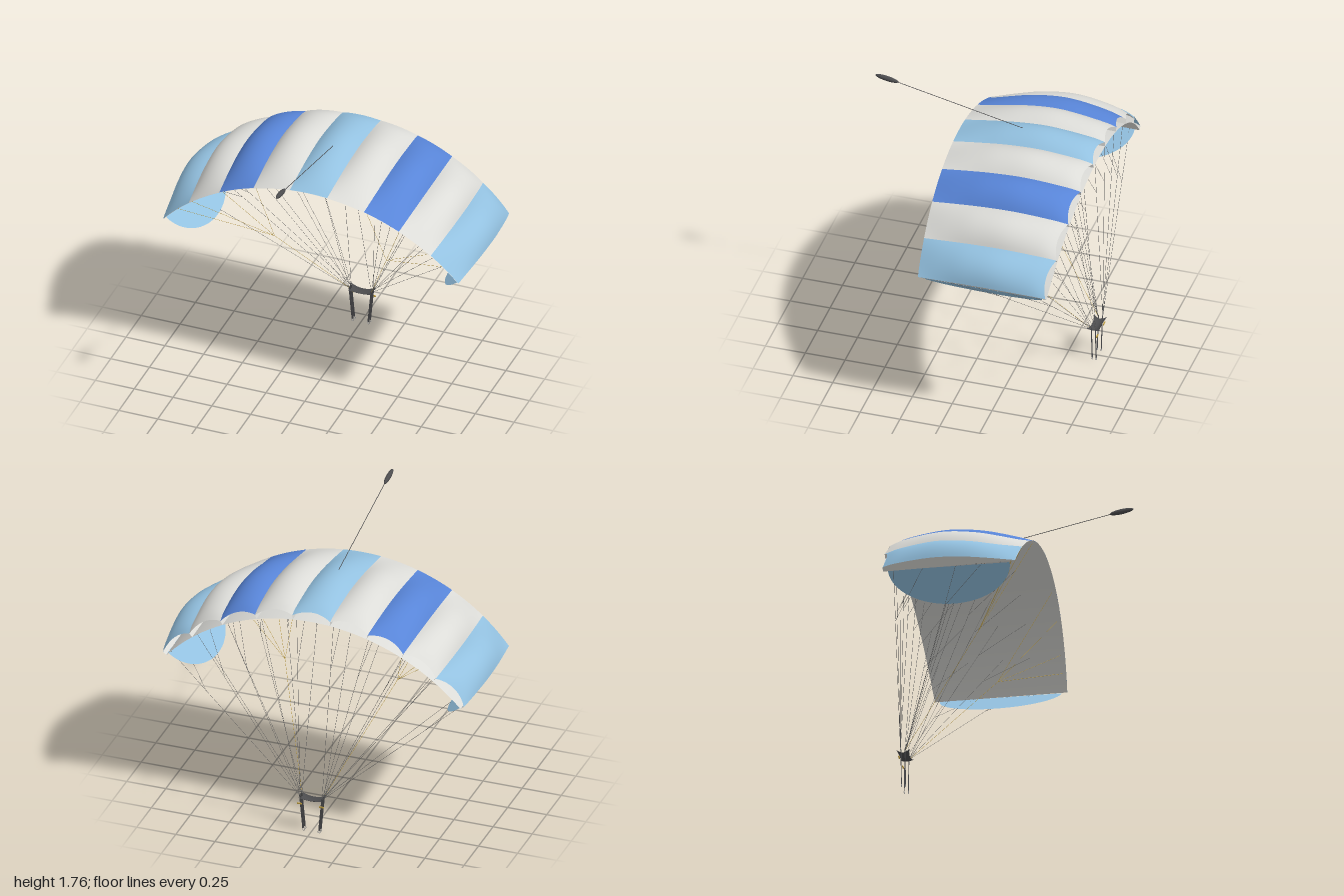
import * as THREE from 'three';
import { mergeGeometries } from 'three/addons/utils/BufferGeometryUtils.js';

const mat = (name, color) => {
  const m = new THREE.MeshStandardMaterial({ color, side: THREE.DoubleSide });
  m.name = name;
  return m;
};

const CY = 0.2145;        // height of the canopy arc's centre
const SPAN = 0.867;       // half angle of the arc
const CELLS = 9;

// Chordwise profiles: radius above the arc centre, u = 0 nose, u = 1 tail
const spline = (pts) => {
  const c = new THREE.SplineCurve(pts.map((p) => new THREE.Vector2(...p)));
  const s = c.getPoints(200);
  return (u) => {
    let i = 1;
    while (i < s.length - 1 && s[i].x < u) i++;
    const k = (u - s[i - 1].x) / (s[i].x - s[i - 1].x);
    return s[i - 1].y + k * (s[i].y - s[i - 1].y);
  };
};
const ribTop = spline([[0, 1.261], [0.1, 1.281], [0.37, 1.303], [0.6, 1.296], [0.8, 1.275], [1, 1.248]]);
const bulge = spline([[0, 0.022], [0.15, 0.036], [0.4, 0.044], [0.65, 0.036], [0.85, 0.018], [1, 0]]);
const bottom = (u) => 1.233 + 0.013 * u;

const polar = (a, r, z) => [r * Math.sin(a), CY + r * Math.cos(a), z];
const chordZ = (a, u, v = 0) => {
  const k = (a / SPAN) ** 2;
  const nose = -0.69 + 0.04 * k + 0.1 * v * (1 - v);
  return nose + u * (0.19 - 0.037 * k - nose);
};

// Smooth sheet from a rule f(u, v) -> [x, y, z]
function sheet(f, nu, nv) {
  const g = new THREE.PlaneGeometry(1, 1, nu, nv);
  const p = g.attributes.position, uv = g.attributes.uv;
  for (let i = 0; i < p.count; i++) p.setXYZ(i, ...f(uv.getX(i), uv.getY(i)));
  g.computeVertexNormals();
  return g;
}

// Thin rod between two points
function rod(a, b, r, sides = 4) {
  const A = new THREE.Vector3(...a), B = new THREE.Vector3(...b);
  const d = B.clone().sub(A);
  const g = new THREE.CylinderGeometry(r, r, d.length(), sides);
  g.applyQuaternion(new THREE.Quaternion().setFromUnitVectors(new THREE.Vector3(0, 1, 0), d.normalize()));
  const m = A.add(B).multiplyScalar(0.5);
  return g.translate(m.x, m.y, m.z);
}

export function createModel() {
  const model = new THREE.Group();
  model.name = 'parachute';
  const sky = mat('sky blue fabric', 0x93c1e0);
  const blue = mat('royal blue fabric', 0x5885d8);
  const white = mat('white fabric', 0xdcdcd8);
  const dark = mat('dark webbing', 0x4c4c4e);
  const cord = mat('grey cord', 0x606060);
  const yellow = mat('yellow cord', 0xc2a040);
  const metal = mat('metal', 0xa0a0a0);
  const add = (name, geometry, material, parent = model) => {
    const m = new THREE.Mesh(geometry, material);
    m.name = name;
    parent.add(m);
    return m;
  };

  // Canopy: inflated upper cells, one smooth lower skin, and ribs between cells
  const canopy = new THREE.Group();
  canopy.name = 'canopy';
  model.add(canopy);
  const step = (2 * SPAN) / CELLS;
  const stripes = [sky, white, blue, white, sky, white, blue, white, sky];
  stripes.forEach((m, c) => {
    const a0 = -SPAN + c * step;
    add('upperCell', sheet((v, u) => {
      const a = a0 + v * step;
      return polar(a, ribTop(1 - u) + bulge(1 - u) * 4 * v * (1 - v), chordZ(a, 1 - u, v));
    }, 14, 28), m, canopy);
  });
  add('lowerSkin', sheet((v, u) => {
    const a = -SPAN + v * 2 * SPAN;
    return polar(a, bottom(u), chordZ(a, u));
  }, 54, 10), white, canopy);
  for (let i = 0; i <= CELLS; i++) {
    const a = -SPAN + i * step;
    add('rib', sheet((u, v) =>
      polar(a, bottom(u) + v * (ribTop(u) - bottom(u)), chordZ(a, u)), 28, 1), white, canopy);
  }

  // Stabilizer flaps hanging from both tips
  for (const s of [-1, 1]) {
    add('stabilizer', sheet((u, v) => {
      const t = -Math.cos(u * Math.PI);
      return polar(s * SPAN, 1.237 - v * 0.247 * Math.sqrt(Math.max(0, 1 - t * t)), -0.25 - 0.37 * t);
    }, 32, 4), sky, canopy);
  }

  // Suspension and steering lines, risers and toggles, mirrored
  for (const s of [-1, 1]) {
    const side = new THREE.Group();
    side.name = s > 0 ? 'leftHarness' : 'rightHarness';
    model.add(side);
    const front = [s * 0.07, 0.235, -0.69], rear = [s * 0.07, 0.235, -0.66];
    const lines = [], steering = [];
    const R = 0.001;
    const at = (a, u) => polar(a, bottom(u), chordZ(a, u));
    const mix = (p, q, k) => p.map((n, i) => n + k * (q[i] - n));
    for (let i = 0; i < 5; i++) {
      const a = s * (i + 0.5) * step;
      const A = at(a, 0.08), C = at(a, 0.55);
      lines.push(rod(front, A, R), rod(rear, C, R));
      lines.push(rod(mix(front, A, 0.72), at(a, 0.3), R));
      lines.push(rod(mix(rear, C, 0.78), at(a, 0.75), R));
    }
    const fork = [s * 0.36, 0.845, -0.17];
    steering.push(rod(rear, fork, R));
    for (const k of [1.5, 2.5, 3.5, 4]) steering.push(rod(fork, at(s * k * step, 0.97), R));
    add('suspensionLines', mergeGeometries(lines), cord, side);
    add('steeringLines', mergeGeometries(steering), yellow, side);

    for (const z of [-0.687, -0.662]) {
      const riser = add('riser', new THREE.BoxGeometry(0.012, 0.225, 0.003), dark, side);
      riser.position.set(s * 0.061, 0.128, z);
      riser.rotation.z = -s * 0.09;
      const ring = add('riserRing', new THREE.TorusGeometry(0.008, 0.002, 6, 14), metal, side);
      ring.position.set(s * 0.05, 0.01, z);
    }
    const toggle = add('steeringToggle', new THREE.BoxGeometry(0.03, 0.008, 0.006), yellow, side);
    toggle.position.set(s * 0.07, 0.188, -0.698);
  }

  // Slider: sagging square of cloth above the risers
  add('slider', sheet((u, v) => {
    const a = 2 * u - 1, b = 2 * v - 1;
    const x = 0.078 * a * (0.85 + 0.15 * b * b);
    const z = -0.674 - 0.04 * b * (0.75 + 0.25 * a * a);
    return [x, 0.207 + 0.014 * a * a + 0.014 * b * b, z];
  }, 14, 10), dark);

  // Pilot chute trailing on its bridle
  const pilot = new THREE.Group();
  pilot.name = 'pilotChute';
  model.add(pilot);
  add('bridle', rod([0, 1.553, -0.22], [0, 1.73, 0.58], 0.002, 6), dark, pilot);
  const pod = add('pilotPod', new THREE.SphereGeometry(1, 20, 14), dark, pilot);
  pod.scale.set(0.015, 0.016, 0.074);
  pod.position.set(0, 1.742, 0.642);
  pod.rotation.x = -0.17;

  return model;
}
